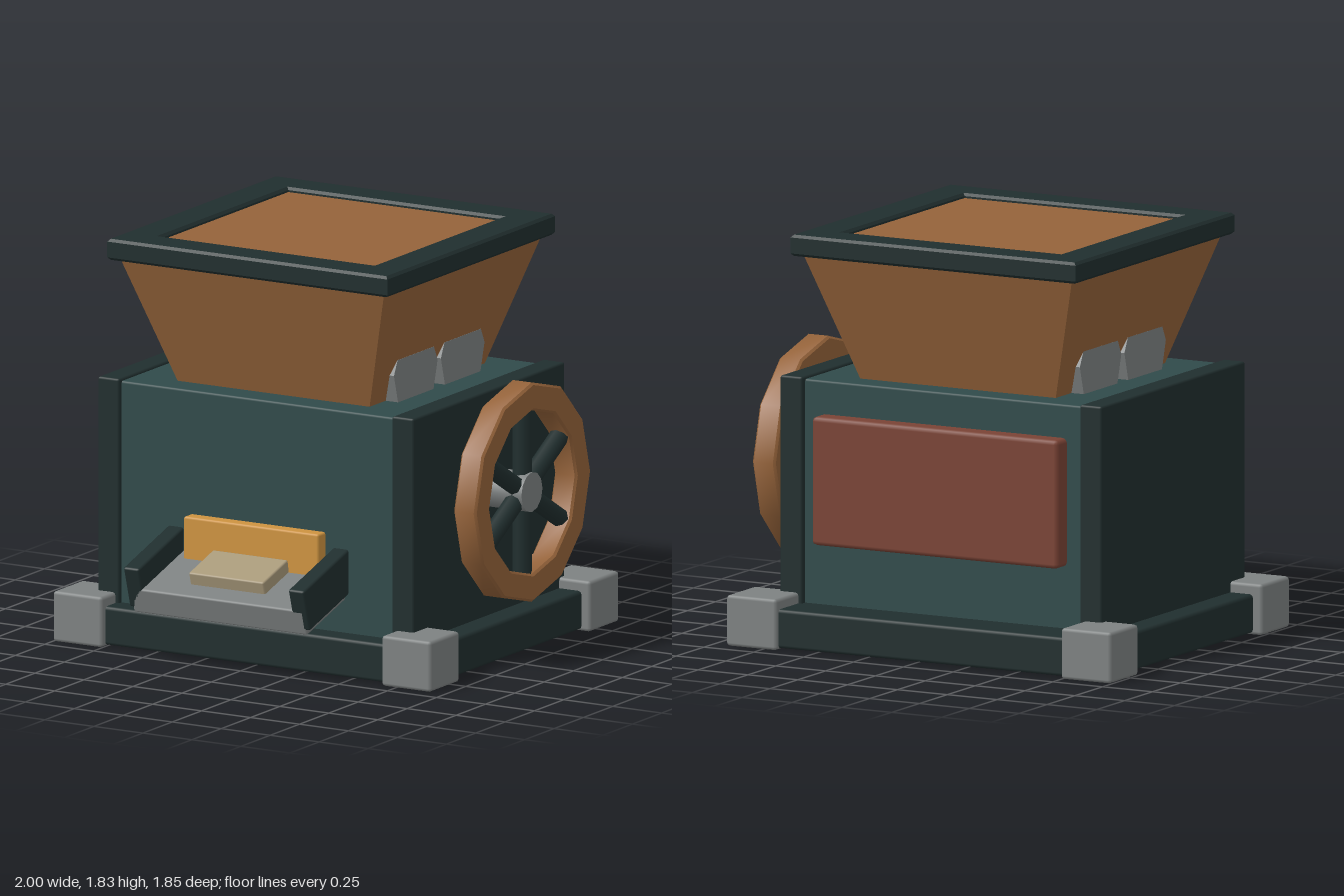
import * as THREE from 'three';
import { toCreasedNormals } from 'three/addons/utils/BufferGeometryUtils.js';
import { RoundedBoxGeometry } from 'three/addons/geometries/RoundedBoxGeometry.js';

const CX = -0.033, CZ = -0.077; // centre line of the housing

const material = (name, color) => {
  const m = new THREE.MeshStandardMaterial({ color });
  m.name = name;
  return m;
};

export function createModel() {
  const root = new THREE.Group();
  root.name = 'grinder';
  const dark = material('darkIron', 0x202e2e);
  const teal = material('tealPaint', 0x304a4a);
  const wood = material('brownWood', 0x95633a);
  const steel = material('greySteel', 0x7d8181);
  const red = material('redPanel', 0x7a4335);
  const yellow = material('yellowGuard', 0xcd9340);
  const beige = material('beigeBlock', 0xa8997a);

  const add = (name, geometry, mat, parent = root) => {
    const mesh = new THREE.Mesh(geometry, mat);
    mesh.name = name;
    parent.add(mesh);
    return mesh;
  };
  // Box with softened edges, given by its extents on each axis
  const box = (name, mat, [x0, x1], [y0, y1], [z0, z1], bevel = 0.01, parent = root) => {
    const g = new RoundedBoxGeometry(x1 - x0, y1 - y0, z1 - z0, 1, bevel);
    g.translate((x0 + x1) / 2, (y0 + y1) / 2, (z0 + z1) / 2);
    return add(name, g, mat, parent);
  };
  // Bevelled ring with a regular outline, lying in the xy plane
  const ring = (outer, inner, sides, thickness, bevel, turn = 0) => {
    const outline = (r) => Array.from({ length: sides }, (_, i) => {
      const a = turn + (i / sides) * Math.PI * 2;
      return new THREE.Vector2(Math.cos(a) * r, Math.sin(a) * r);
    });
    const shape = new THREE.Shape(outline(outer));
    shape.holes.push(new THREE.Path(outline(inner).reverse()));
    const g = new THREE.ExtrudeGeometry(shape, {
      depth: thickness - 2 * bevel, bevelEnabled: true, bevelSegments: 1,
      bevelSize: bevel, bevelThickness: bevel, bevelOffset: -bevel,
    });
    return g.translate(0, 0, bevel - thickness / 2);
  };

  // Base and corner feet
  box('base', dark, [-0.953, 0.887], [0.008, 0.18], [-0.905, 0.655], 0.015);
  for (const x of [-0.873, 0.805]) {
    for (const z of [-0.8, 0.56]) {
      box('foot', steel, [x - 0.126, x + 0.126], [0, 0.227], [z - 0.126, z + 0.126], 0.015);
    }
  }

  // Housing, side plates and rear panel
  box('housing', teal, [-0.76, 0.69], [0.16, 1.175], [-0.695, 0.545]);
  box('rightPlate', dark, [-0.84, -0.73], [0.16, 1.187], [-0.725, 0.568]);
  box('leftPlate', dark, [0.662, 0.773], [0.16, 1.187], [-0.725, 0.568]);
  box('rearPanel', red, [-0.65, 0.585], [0.455, 1.027], [-0.78, -0.66], 0.02);

  // Hopper: a square funnel with a framed top
  const funnel = new THREE.CylinderGeometry(0.696 * Math.SQRT2, 0.466 * Math.SQRT2, 0.71, 4);
  funnel.rotateY(Math.PI / 4);
  add('hopper', toCreasedNormals(funnel, 0.5), wood).position.set(CX, 1.455, CZ);
  const rim = ring(0.715 * Math.SQRT2, 0.545 * Math.SQRT2, 4, 0.095, 0.012, Math.PI / 4);
  add('hopperRim', rim.rotateX(-Math.PI / 2), dark).position.set(CX, 1.783, CZ);

  // Pair of crushing rollers, their ends showing beside the hopper
  const half = [[0.155, 1.365], [0.186, 1.3], [0.15, 1.17], [0.1, 1.1]];
  const section = [...half.map(([z, y]) => new THREE.Vector2(z, y)),
    ...half.map(([z, y]) => new THREE.Vector2(-z, y)).reverse()];
  for (const z of [0.125, -0.275]) {
    const g = new THREE.ExtrudeGeometry(new THREE.Shape(section), { depth: 1.105, bevelEnabled: false });
    g.rotateY(Math.PI / 2);
    add('roller', g, steel).position.set(-0.585, 0, z);
  }

  // Handwheel on its axle
  const wheel = new THREE.Group();
  wheel.name = 'handwheel';
  wheel.position.set(0.942, 0.757, CZ);
  root.add(wheel);
  add('wheelRing', toCreasedNormals(ring(0.493, 0.368, 12, 0.115, 0.01), 0.6).rotateY(Math.PI / 2), wood, wheel);
  for (let i = 0; i < 3; i++) {
    add('spoke', new THREE.CylinderGeometry(0.044, 0.044, 0.8, 8), dark, wheel).rotation.x = i * Math.PI / 3;
  }
  const axle = new THREE.CylinderGeometry(0.09, 0.09, 0.3, 12).rotateZ(Math.PI / 2);
  add('axle', axle, steel, wheel).position.x = -0.1;

  // Sloping outlet tray with side rails
  const chute = new THREE.Group();
  chute.name = 'outlet';
  chute.position.set(CX, 0.23, 0.865);
  chute.rotation.x = 0.288;
  root.add(chute);
  box('tray', steel, [-0.443, 0.443], [0, 0.12], [-0.55, 0], 0.01, chute);
  for (const s of [-1, 1]) {
    box('rail', dark, [s * 0.421 - 0.04, s * 0.421 + 0.04], [0.025, 0.22], [-0.55, 0], 0.01, chute);
  }
  box('trayBlock', beige, [-0.192, 0.19], [0.11, 0.177], [-0.32, -0.1], 0.008, chute);
  box('outletGuard', yellow, [-0.38, 0.31], [0.4, 0.62], [0.5, 0.605]);

  return root;
}
